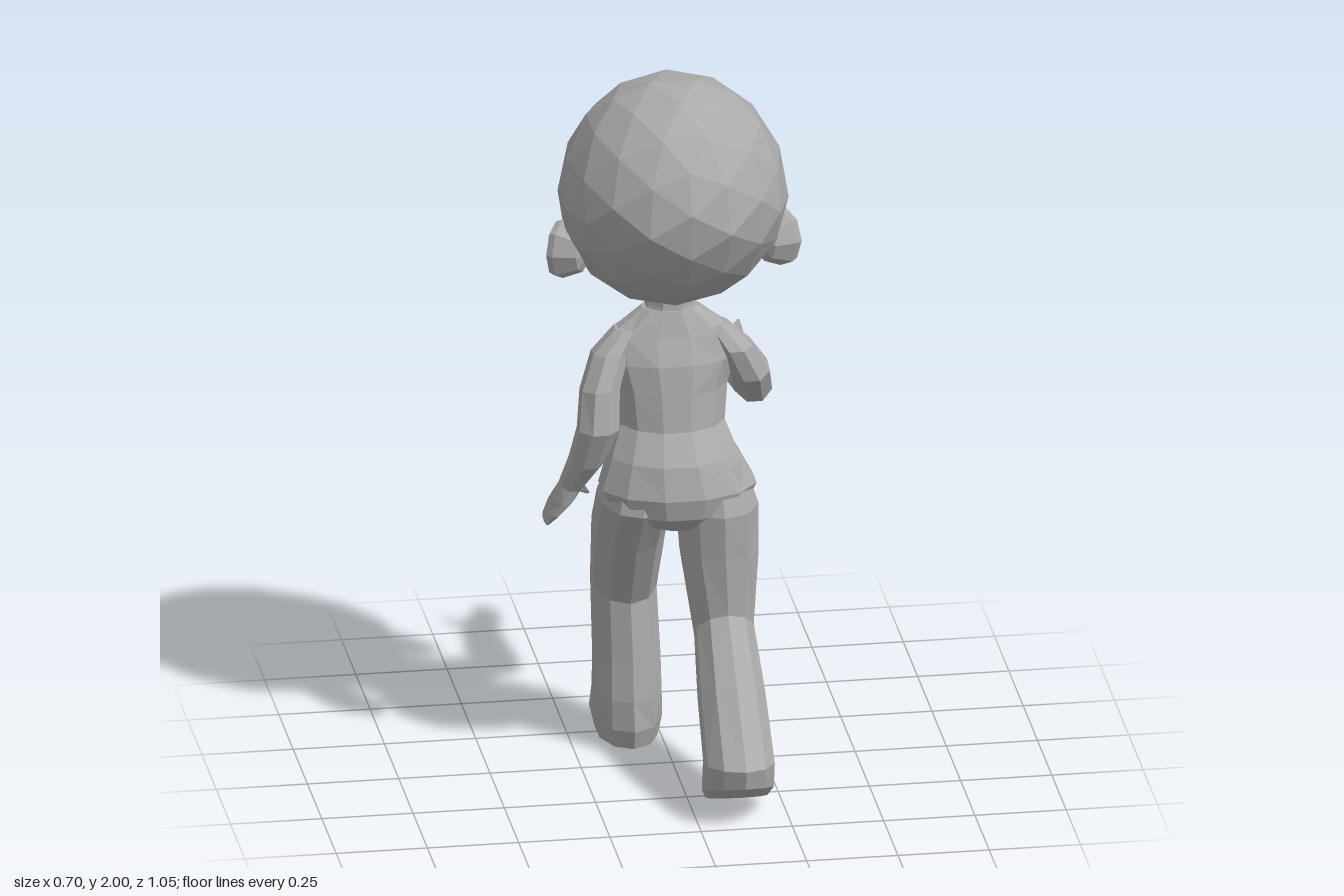
import * as THREE from 'three';

const clay = new THREE.MeshStandardMaterial({ color: 0xaaaaaa, flatShading: true });
clay.name = 'grey clay';

// Closed skin through elliptical rings: [x, y, z, x radius, other radius, tilt in degrees about x]
function loft(name, rings, sides = 8) {
  const pos = [], idx = [], last = (rings.length - 1) * sides;
  for (const [x, y, z, rx, rd, tilt = 0] of rings) {
    const t = THREE.MathUtils.degToRad(tilt);
    for (let j = 0; j < sides; j++) {
      const a = ((j + 0.5) / sides) * Math.PI * 2, k = 1.05;
      const d = Math.sin(a) * rd * k;
      pos.push(x + Math.cos(a) * rx * k, Math.max(0, y + d * Math.sin(t)), z + d * Math.cos(t));
    }
  }
  const c0 = pos.length / 3;
  for (const r of [rings[0], rings[rings.length - 1]]) pos.push(r[0], r[1], r[2]);
  for (let j = 0; j < sides; j++) {
    const n = (j + 1) % sides;
    for (let i = 0; i < last; i += sides) {
      const a = i + j, b = i + n, c = b + sides, d = a + sides;
      if ((j + i / sides) % 2) idx.push(a, b, c, a, c, d);
      else idx.push(a, b, d, b, c, d);
    }
    idx.push(c0, n, j, c0 + 1, last + j, last + n);
  }
  const indexed = new THREE.BufferGeometry();
  indexed.setAttribute('position', new THREE.Float32BufferAttribute(pos, 3));
  indexed.setIndex(idx);
  return part(name, indexed.toNonIndexed());
}

function part(name, geometry) {
  geometry.computeVertexNormals();
  const mesh = new THREE.Mesh(geometry, clay);
  mesh.name = name;
  return mesh;
}

// Faceted ball, flattened at the face, with the jaw pushed forward
function head() {
  const g = new THREE.IcosahedronGeometry(1, 2), p = g.attributes.position;
  for (let i = 0; i < p.count; i++) {
    const ny = p.getY(i), y = 1.67 + ny * 0.333;
    const z = 0.01 + p.getZ(i) * 0.347 + Math.min(0, ny) * 0.085;
    p.setXYZ(i, p.getX(i) * 0.312, y, Math.max(z, y > 1.54 ? -0.33 : -0.27));
  }
  return part('head', g);
}

// Hollow dish turned outward and towards the face
function ear(side) {
  const profile = [[0.001, -0.08], [0.05, -0.06], [0.076, 0.0], [0.07, 0.02], [0.05, 0.018], [0.035, -0.015], [0.001, -0.02]];
  const g = new THREE.LatheGeometry(profile.map(([r, y]) => new THREE.Vector2(r, y)), 8);
  g.rotateZ(-side * Math.PI / 2);
  g.scale(1, 1.12, 0.9);
  g.rotateY(side * 0.6);
  g.translate(side * 0.298, 1.515, -0.015);
  return part(side > 0 ? 'leftEar' : 'rightEar', g.toNonIndexed());
}

export function createModel() {
  const model = new THREE.Group();
  model.name = 'walkingFigure';
  model.add(head(), ear(1), ear(-1));

  // Protruding mouth and chin below the brow
  model.add(loft('muzzle', [
    [0, 1.53, -0.17, 0.205, 0.178, -4], [0, 1.45, -0.14, 0.2, 0.15],
    [0, 1.39, -0.15, 0.16, 0.142], [0, 1.35, -0.165, 0.09, 0.11],
  ], 10));

  model.add(loft('neck', [[0, 1.4, -0.06, 0.065, 0.055], [0, 1.33, -0.055, 0.065, 0.055], [0, 1.27, -0.05, 0.08, 0.06]]));
  model.add(loft('torso', [
    [0, 1.32, -0.05, 0.075, 0.055], [0, 1.25, -0.035, 0.17, 0.065],
    [0, 1.18, -0.04, 0.175, 0.1], [0, 1.1, -0.045, 0.15, 0.12],
    [0, 1.0, -0.025, 0.14, 0.115], [0, 0.92, 0.01, 0.17, 0.135],
    [0.01, 0.83, 0.022, 0.208, 0.145], [0.01, 0.77, 0.02, 0.18, 0.135],
    [0.01, 0.72, 0.015, 0.09, 0.09],
  ], 12));

  // Trailing leg with raised heel
  model.add(loft('leftLeg', [
    [0.11, 0.9, 0.015, 0.075, 0.1], [0.118, 0.77, 0.022, 0.108, 0.135],
    [0.122, 0.63, 0.035, 0.103, 0.115, 8],
    [0.13, 0.41, 0.07, 0.078, 0.1, 42], [0.125, 0.285, 0.23, 0.088, 0.108, 32],
    [0.12, 0.155, 0.395, 0.092, 0.13, 9], [0.12, 0.07, 0.375, 0.092, 0.145, 20],
    [0.12, 0.035, 0.35, 0.08, 0.11, 20],
  ], 10));

  // Leading leg, planted flat
  model.add(loft('rightLeg', [
    [-0.095, 0.9, 0.015, 0.07, 0.1], [-0.1, 0.79, -0.005, 0.1, 0.142, -5],
    [-0.105, 0.665, -0.1, 0.095, 0.135, -15],
    [-0.1, 0.45, -0.222, 0.085, 0.125, -8], [-0.095, 0.25, -0.202, 0.088, 0.118],
    [-0.095, 0.15, -0.195, 0.09, 0.12], [-0.092, 0.065, -0.235, 0.092, 0.162],
    [-0.092, 0.01, -0.225, 0.08, 0.135],
  ], 10));

  // Arm bent forward
  model.add(loft('leftArm', [
    [0.12, 1.27, -0.035, 0.035, 0.04], [0.17, 1.21, -0.02, 0.05, 0.062, -5],
    [0.215, 1.13, -0.04, 0.055, 0.065, -20],
    [0.238, 1.05, -0.12, 0.053, 0.06, -45], [0.23, 1.05, -0.2, 0.056, 0.047, -85],
    [0.228, 1.045, -0.37, 0.042, 0.036, -90],
  ]));
  model.add(loft('leftHand', [
    [0.228, 1.045, -0.36, 0.04, 0.035, -90], [0.232, 1.04, -0.41, 0.035, 0.047, -90],
    [0.246, 1.03, -0.46, 0.023, 0.05, -90], [0.262, 1.03, -0.52, 0.008, 0.04, -90],
  ]));
  model.add(loft('leftThumb', [
    [0.215, 1.045, -0.37, 0.028, 0.026, -90], [0.18, 1.055, -0.42, 0.02, 0.018, -90],
    [0.147, 1.07, -0.45, 0.007, 0.01, -90],
  ], 6));

  // Arm hanging at the side
  model.add(loft('rightArm', [
    [-0.12, 1.27, -0.035, 0.035, 0.04], [-0.17, 1.21, -0.01, 0.05, 0.06, 5],
    [-0.205, 1.12, 0.035, 0.053, 0.065, 10],
    [-0.215, 1.02, 0.07, 0.056, 0.06], [-0.24, 0.92, 0.035, 0.047, 0.052, -15],
    [-0.275, 0.83, -0.01, 0.033, 0.038, -20],
  ]));
  model.add(loft('rightHand', [
    [-0.272, 0.84, -0.005, 0.031, 0.036, -20], [-0.295, 0.79, -0.025, 0.03, 0.047, -15],
    [-0.32, 0.75, -0.04, 0.018, 0.05, -10], [-0.34, 0.715, -0.05, 0.007, 0.036, -10],
  ]));
  model.add(loft('rightThumb', [
    [-0.27, 0.83, -0.02, 0.026, 0.025], [-0.245, 0.8, -0.045, 0.018, 0.018],
    [-0.225, 0.78, -0.06, 0.008, 0.008],
  ], 6));

  return model;
}
